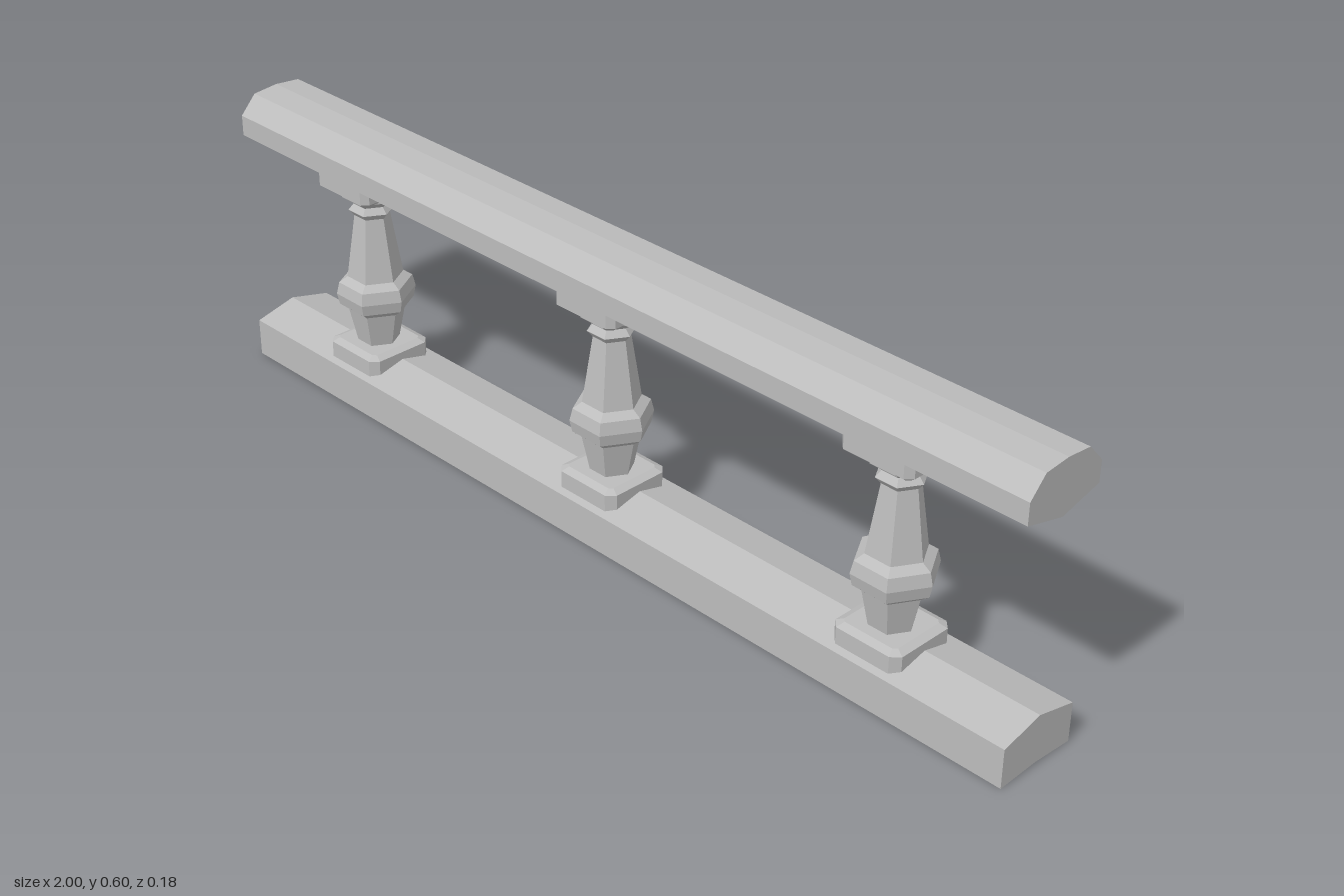
import * as THREE from 'three';

export function createModel() {
  const root = new THREE.Group();
  root.name = 'balustrade';
  const stone = new THREE.MeshStandardMaterial({ color: 0xbcbcbc });
  stone.name = 'grey stone';

  // Faceted mesh: every face keeps its own normal
  const add = (parent, name, geometry) => {
    const flat = geometry.index ? geometry.toNonIndexed() : geometry;
    flat.computeVertexNormals();
    const mesh = new THREE.Mesh(flat, stone);
    mesh.name = name;
    parent.add(mesh);
    return mesh;
  };
  const shapeOf = (pts) => new THREE.Shape(pts.map(([x, y]) => new THREE.Vector2(x, y)));

  // Long rails: a cross-section in z and y, swept along x
  const rail = (name, section) => {
    const g = new THREE.ExtrudeGeometry(shapeOf(section), { depth: 2, bevelEnabled: false });
    g.translate(0, 0, -1).rotateY(Math.PI / 2);
    add(root, name, g);
  };
  rail('bottomRail', [[-0.09, 0], [0, 0.005], [0.09, 0], [0.09, 0.08], [0, 0.102], [-0.09, 0.08]]);
  rail('handrail', [
    [-0.09, 0.509], [0, 0.486], [0.09, 0.509], [0.09, 0.552],
    [0.055, 0.59], [0, 0.595], [-0.055, 0.59], [-0.09, 0.552],
  ]);

  // Square plate with clipped corners and bevelled top and bottom edges
  const plate = (half, y0, y1, bevel, lip) => {
    const a = half - bevel, c = a - 0.007;
    const g = new THREE.ExtrudeGeometry(
      shapeOf([[a, -c], [a, c], [c, a], [-c, a], [-a, c], [-a, -c], [-c, -a], [c, -a]]),
      { depth: y1 - y0 - 2 * lip, bevelThickness: lip, bevelSize: bevel, bevelSegments: 1 });
    return g.rotateX(-Math.PI / 2).translate(0, y0 + lip, 0);
  };

  // Six-sided turned profile: radius at the corners, height
  const profile = [
    [0.042, 0.12], [0.058, 0.197], [0.076, 0.211], [0.081, 0.235], [0.075, 0.26],
    [0.057, 0.272], [0.036, 0.407], [0.047, 0.42], [0.036, 0.433],
    [0.058, 0.449], [0.058, 0.468],
  ].map(([r, y]) => new THREE.Vector2(r, y));

  for (const x of [-0.703, -0.007, 0.682]) {
    const baluster = new THREE.Group();
    baluster.name = 'baluster';
    baluster.position.x = x;
    add(baluster, 'basePlate', plate(0.075, 0.07, 0.125, 0.015, 0.007));
    add(baluster, 'turnedShaft', new THREE.LatheGeometry(profile, 6, Math.PI / 2));
    add(baluster, 'capPlate', plate(0.077, 0.464, 0.515, 0.01, 0.008));
    root.add(baluster);
  }
  return root;
}
